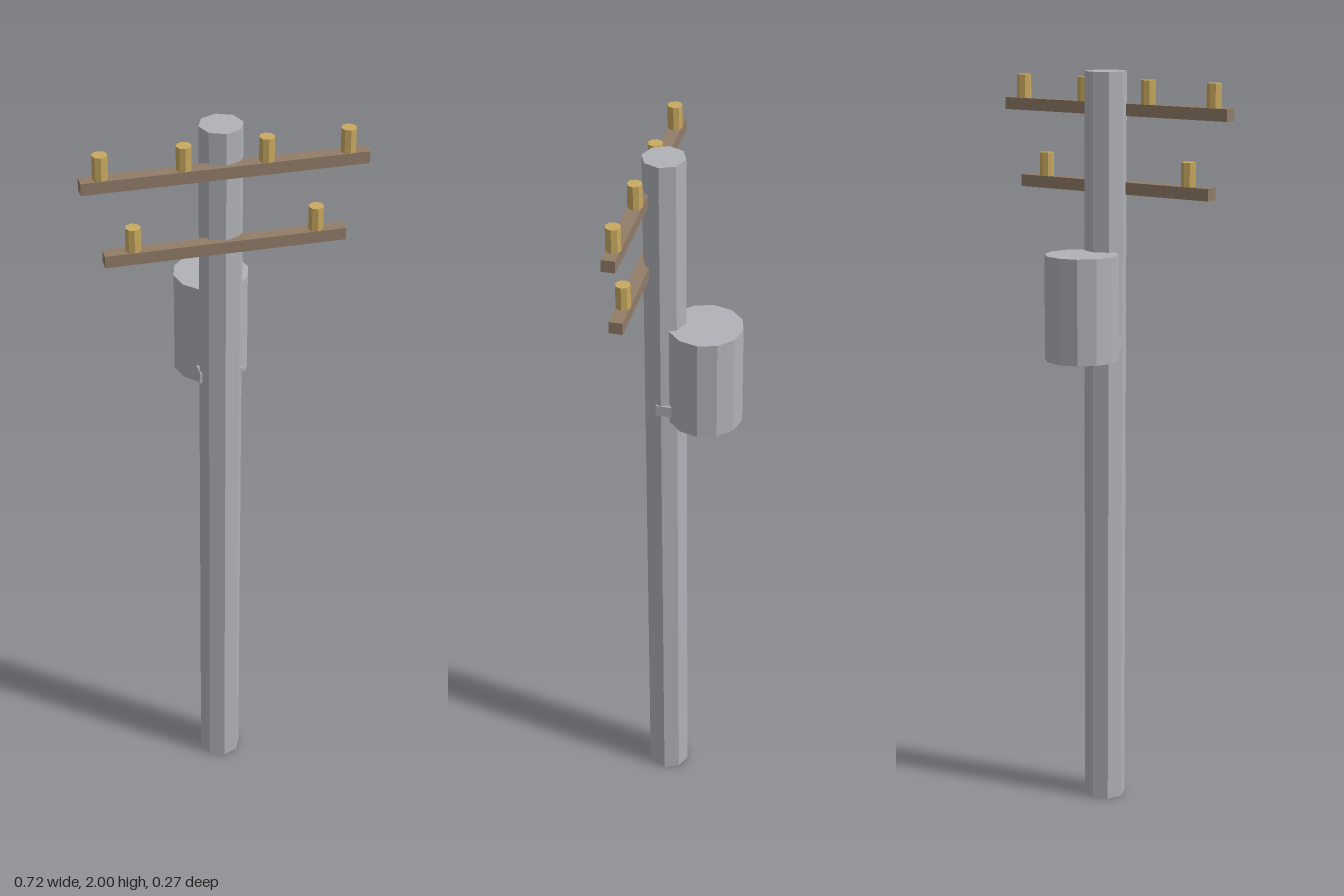
import * as THREE from 'three';

export function createModel() {
  const model = new THREE.Group();
  model.name = 'utilityPole';

  const material = (name, color) => {
    const m = new THREE.MeshStandardMaterial({ color });
    m.name = name;
    return m;
  };
  const grey = material('grey metal', 0xb0b2b7);
  const wood = material('brown wood', 0x917c68);
  const gold = material('ochre ceramic', 0xc9a95f);

  const add = (name, geometry, mat, x, y, z, parent = model) => {
    const mesh = new THREE.Mesh(geometry, mat);
    mesh.name = name;
    mesh.position.set(x, y, z);
    parent.add(mesh);
  };

  // Faceted upright prism with flat normals
  const prism = (radius, height, sides) => {
    const g = new THREE.CylinderGeometry(radius, radius, height, sides).toNonIndexed();
    g.computeVertexNormals();
    return g;
  };

  // Pole
  add('pole', prism(0.056, 2, 8), grey, 0, 1, 0.068);

  // Transformer can behind the pole, with its mounting bracket
  add('transformer', prism(0.098, 0.28, 12), grey, 0, 1.39, -0.038);
  add('transformerBracket', new THREE.BoxGeometry(0.114, 0.03, 0.091), grey, 0, 1.285, 0.036);

  // Crossarms on the front of the pole, each with a row of insulators
  const armZ = 0.115;
  const armHeight = 0.032;
  const pegHeight = 0.063;
  const pegGeometry = prism(0.0195, pegHeight, 8);
  const arms = [
    { name: 'upperCrossarm', y: 1.899, length: 0.718, pegs: [0.103, 0.308] },
    { name: 'lowerCrossarm', y: 1.693, length: 0.61, pegs: [0.231] },
  ];
  for (const { name, y, length, pegs } of arms) {
    const group = new THREE.Group();
    group.name = name;
    group.position.set(0, y, armZ);
    model.add(group);
    add('beam', new THREE.BoxGeometry(length, armHeight, 0.035), wood, 0, 0, 0, group);
    for (const x of pegs) {
      for (const side of [-1, 1]) {
        add('insulator', pegGeometry, gold, side * x, (armHeight + pegHeight) / 2, 0, group);
      }
    }
  }

  return model;
}
